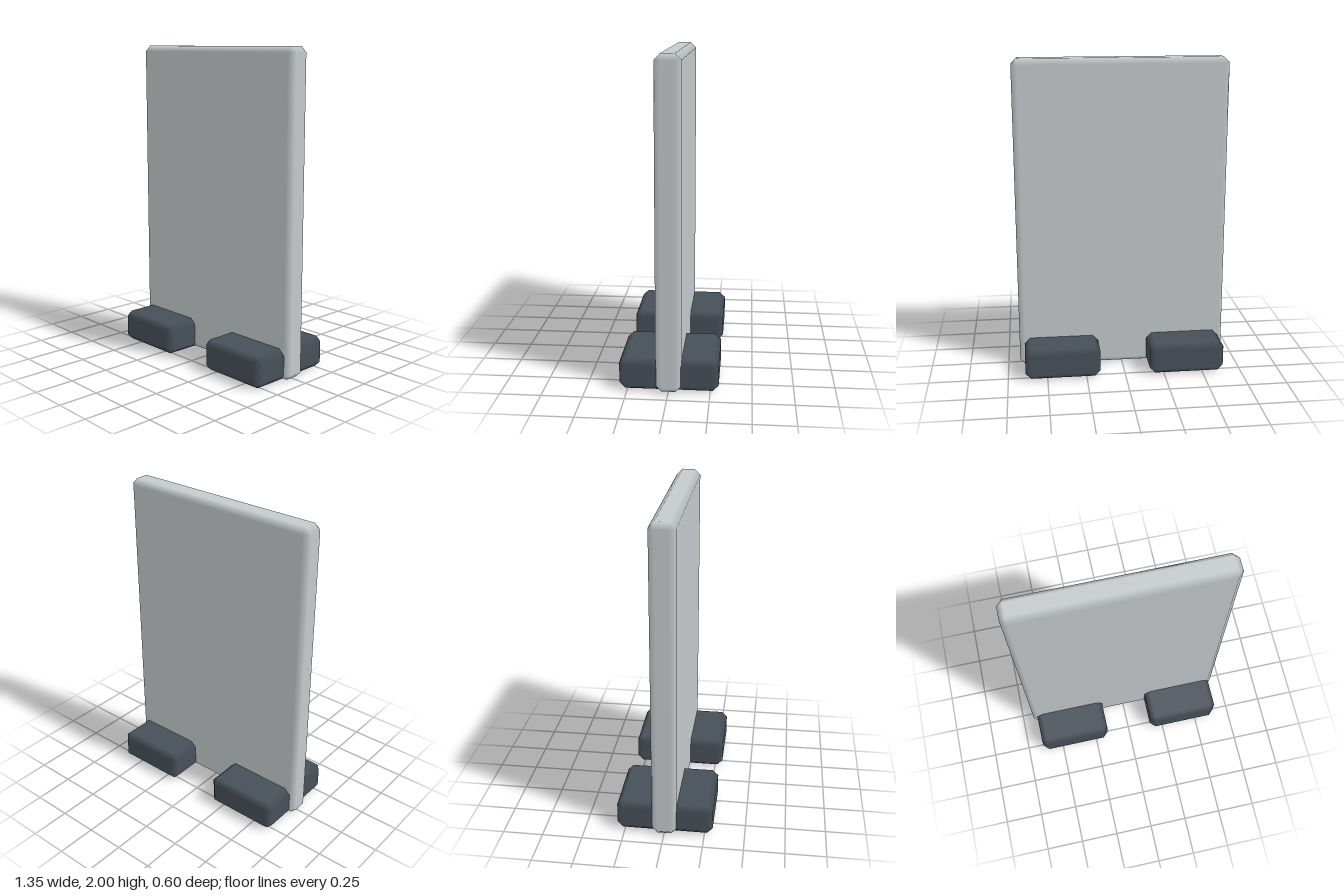
import * as THREE from 'three';
import { ConvexGeometry } from 'three/addons/geometries/ConvexGeometry.js';

// Box with single-step chamfers: flat main faces, smoothly shaded chamfers.
function chamferedBox(w, h, d, c) {
  const half = [w / 2, h / 2, d / 2];
  const points = [];
  for (const sx of [-1, 1]) for (const sy of [-1, 1]) for (const sz of [-1, 1]) {
    for (let axis = 0; axis < 3; axis++) {
      const p = [sx, sy, sz].map((s, i) => s * (half[i] - (i === axis ? 0 : c)));
      points.push(new THREE.Vector3(...p));
    }
  }
  const geometry = new ConvexGeometry(points);
  const { position, normal } = geometry.attributes;
  // Each vertex takes the normal of the main face it lies on.
  for (let i = 0; i < position.count; i++) {
    const n = half.map((e, k) => {
      const v = position.getComponent(i, k);
      return Math.abs(v) > e - c / 2 ? Math.sign(v) : 0;
    });
    normal.setXYZ(i, ...n);
  }
  return geometry;
}

export function createModel() {
  const group = new THREE.Group();
  group.name = 'standingPanel';
  const panelMaterial = new THREE.MeshStandardMaterial({ color: 0xc5cacd });
  const footMaterial = new THREE.MeshStandardMaterial({ color: 0x475059 });

  // Upright board
  const panel = new THREE.Mesh(chamferedBox(1.346, 2, 0.155, 0.036), panelMaterial);
  panel.name = 'panel';
  panel.position.y = 1;
  group.add(panel);

  // Two block feet straddling the board
  const footGeometry = chamferedBox(0.48, 0.2, 0.6, 0.036);
  for (const side of [-1, 1]) {
    const foot = new THREE.Mesh(footGeometry, footMaterial);
    foot.name = side > 0 ? 'leftFoot' : 'rightFoot';
    foot.position.set(side * 0.4, 0.1, 0);
    group.add(foot);
  }
  return group;
}
